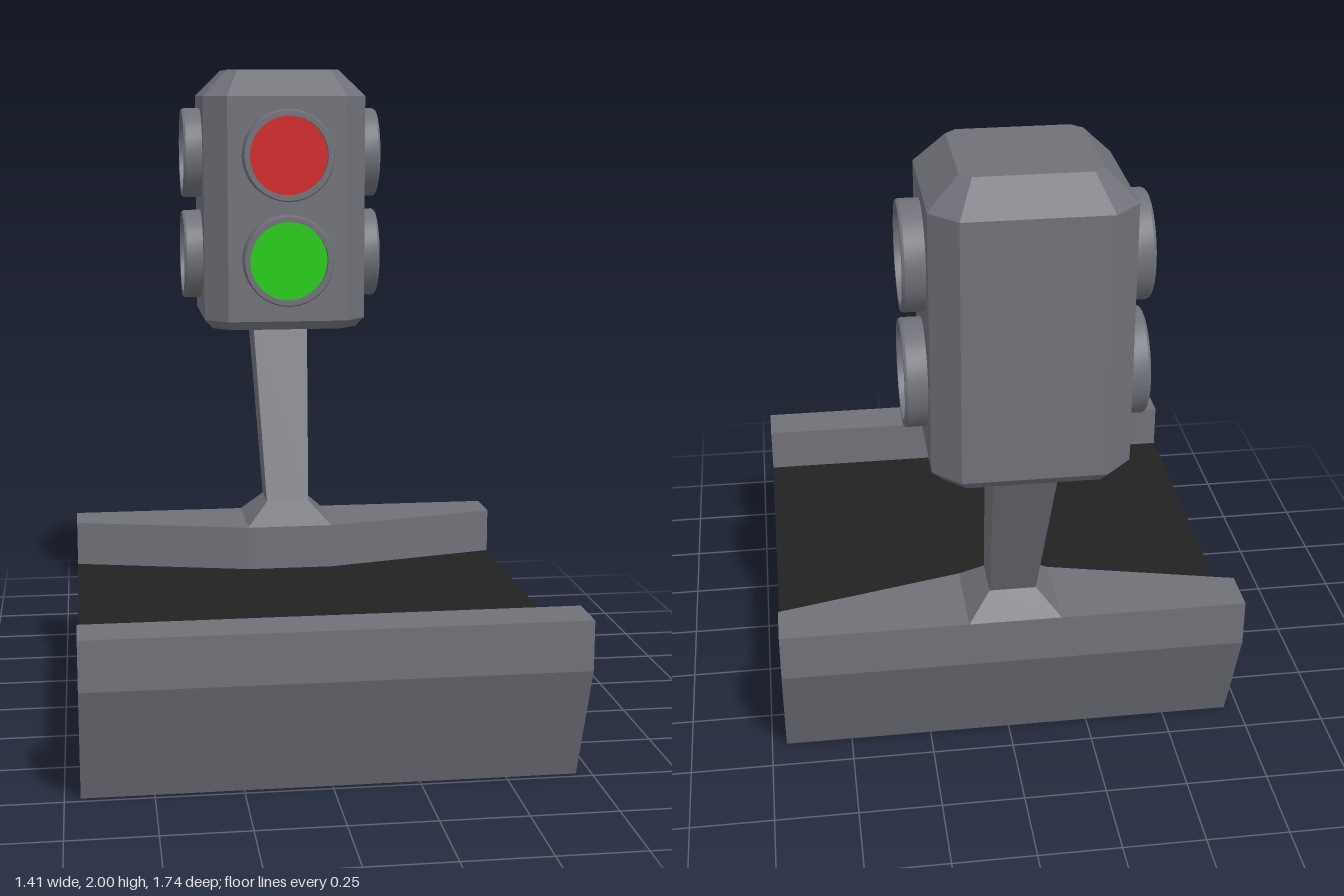
import * as THREE from 'three';
import { toCreasedNormals } from 'three/addons/utils/BufferGeometryUtils.js';

const mat = (name, color) => {
  const m = new THREE.MeshStandardMaterial({ color });
  m.name = name;
  return m;
};

function addMesh(parent, name, geometry, material) {
  const mesh = new THREE.Mesh(geometry, material);
  mesh.name = name;
  parent.add(mesh);
  return mesh;
}

// Horizontal rectangle with cut corners, counter-clockwise when seen from below
function ring(y, hx, hz, cut, cz) {
  const corners = cut
    ? [[hx, hz - cut], [hx - cut, hz], [cut - hx, hz], [-hx, hz - cut],
      [-hx, cut - hz], [cut - hx, -hz], [hx - cut, -hz], [hx, cut - hz]]
    : [[hx, hz], [-hx, hz], [-hx, -hz], [hx, -hz]];
  return corners.map(([x, z]) => [x, y, z + cz]);
}

// Flat-faced solid through rings listed from bottom to top, capped at both ends
function loft(rings) {
  const pos = [];
  const tri = (a, b, c) => pos.push(...a, ...b, ...c);
  const n = rings[0].length;
  for (let r = 0; r < rings.length - 1; r++) {
    const low = rings[r], high = rings[r + 1];
    for (let i = 0; i < n; i++) {
      const j = (i + 1) % n;
      tri(low[i], high[j], low[j]);
      tri(low[i], high[i], high[j]);
    }
  }
  const bottom = rings[0], top = rings[rings.length - 1];
  for (let i = 1; i < n - 1; i++) {
    tri(bottom[0], bottom[i], bottom[i + 1]);
    tri(top[0], top[i + 1], top[i]);
  }
  const g = new THREE.BufferGeometry();
  g.setAttribute('position', new THREE.Float32BufferAttribute(pos, 3));
  g.computeVertexNormals();
  return g;
}

const shapeOf = (points) => new THREE.Shape(points.map(([x, y]) => new THREE.Vector2(x, y)));

export function createModel() {
  const grey = mat('metal grey', 0x707178);
  const black = mat('road black', 0x222222);
  const red = mat('lamp red', 0xd02323);
  const green = mat('lamp green', 0x22cc11);
  const model = new THREE.Group();
  model.name = 'trafficLight';

  const W = 0.705, deck = 0.355, curbTop = 0.5;

  // Base slab with the front curb, extruded across x
  const slab = new THREE.ExtrudeGeometry(shapeOf([
    [-0.4, 0], [0.73, 0], [0.87, deck], [0.87, curbTop], [0.73, curbTop], [0.73, deck], [-0.54, deck],
  ]), { depth: 2 * W, bevelEnabled: false });
  slab.translate(0, 0, -W).rotateY(-Math.PI / 2);
  addMesh(model, 'base', slab, grey);

  // Back curb, widening toward the pole
  const curb = new THREE.ExtrudeGeometry(shapeOf([
    [-W, 0.4], [-0.14, 0.262], [0.14, 0.262], [W, 0.4], [W, 0.54], [-W, 0.54],
  ]), { depth: curbTop - deck, bevelEnabled: false });
  curb.rotateX(-Math.PI / 2).translate(0, deck, 0);
  addMesh(model, 'backCurb', curb, grey);

  // Road surface between the curbs
  const road = new THREE.ShapeGeometry(shapeOf([
    [-W, -0.73], [W, -0.73], [W, 0.4], [0.14, 0.262], [-0.14, 0.262], [-W, 0.4],
  ]));
  road.rotateX(-Math.PI / 2).translate(0, deck + 0.003, 0);
  addMesh(model, 'roadSurface', road, black);

  // Flared foot and leaning pole
  const footTop = ring(0.57, 0.07, 0.069, 0, -0.403);
  addMesh(model, 'poleFoot', loft([ring(curbTop, 0.14, 0.139, 0, -0.401), footTop]), grey);
  addMesh(model, 'pole', loft([footTop, ring(1.16, 0.093, 0.096, 0, -0.643)]), grey);

  // Signal head
  const head = new THREE.Group();
  head.name = 'signalHead';
  head.position.z = -0.6;
  model.add(head);
  addMesh(head, 'housing', loft([
    ring(1.15, 0.24, 0.24, 0.06, 0),
    ring(1.18, 0.268, 0.268, 0.073, 0),
    ring(1.915, 0.268, 0.268, 0.073, 0),
    ring(2, 0.184, 0.184, 0.03, 0),
  ]), grey);

  // Lamps on the front, left and right faces
  const rimProfile = [[0.149, 0], [0.149, 0.055], [0.145, 0.062], [0.128, 0.062], [0.128, 0.036]]
    .map(([x, y]) => new THREE.Vector2(x, y));
  const rim = toCreasedNormals(new THREE.LatheGeometry(rimProfile, 32).rotateX(Math.PI / 2), 0.4);
  const lens = new THREE.CircleGeometry(0.128, 32);
  const sides = [['front', 0], ['left', Math.PI / 2], ['right', -Math.PI / 2]];
  for (const [side, angle] of sides) {
    const face = new THREE.Group();
    face.name = side + 'Lamps';
    face.rotation.y = angle;
    head.add(face);
    for (const [name, y, colour] of [['red', 1.725, red], ['green', 1.384, green]]) {
      addMesh(face, name + 'Rim', rim, grey).position.set(0, y, 0.267);
      addMesh(face, name + 'Lens', lens, colour).position.set(0, y, 0.306);
    }
  }
  return model;
}
